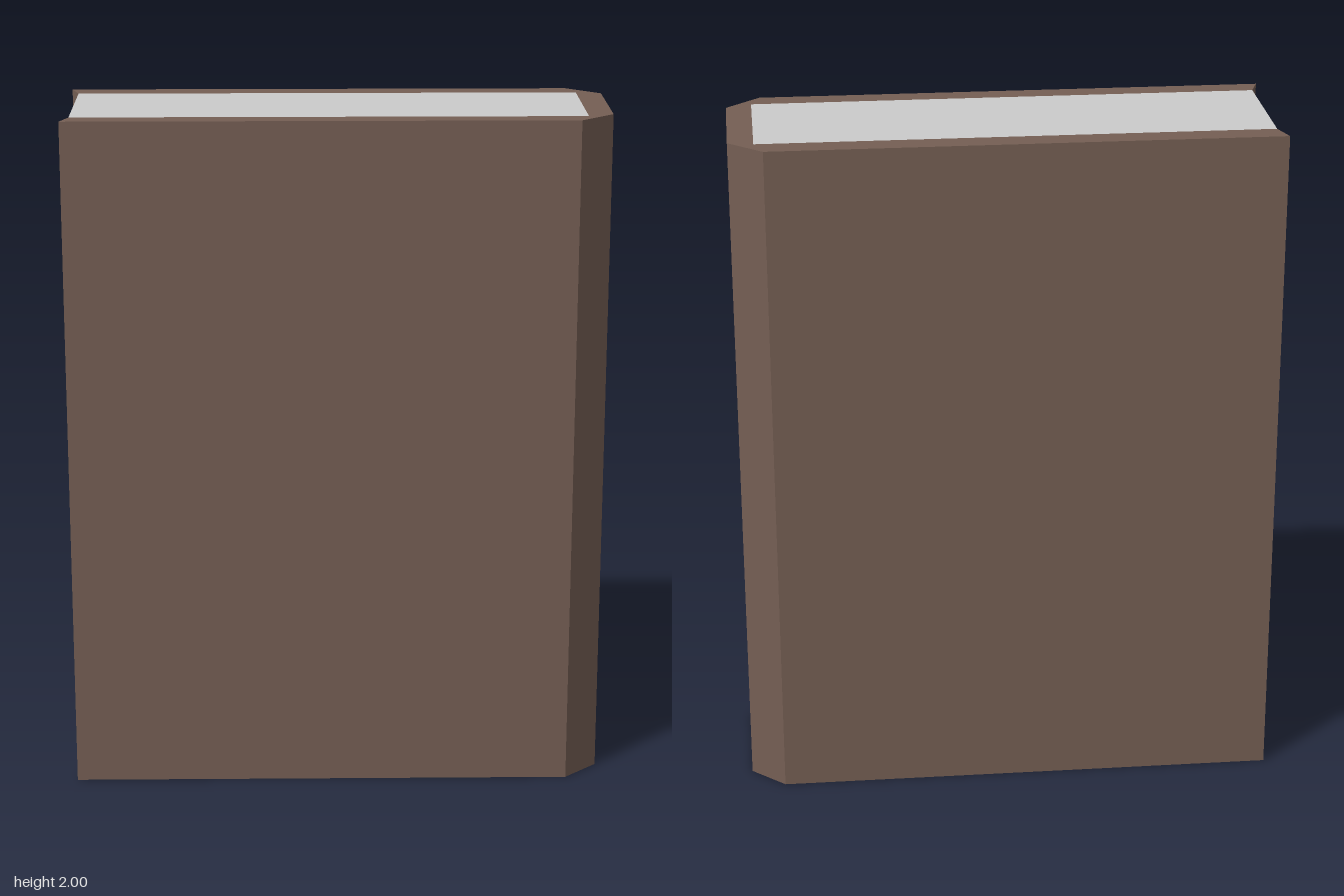
import * as THREE from 'three';

const HEIGHT = 2;

// Extrudes a plan outline, given as [x, z] points, upward from y = 0
function upright(name, outline, color) {
  const shape = new THREE.Shape(outline.map(([x, z]) => new THREE.Vector2(x, -z)));
  const geometry = new THREE.ExtrudeGeometry(shape, { depth: HEIGHT, bevelEnabled: false });
  geometry.rotateX(-Math.PI / 2);
  const mesh = new THREE.Mesh(geometry, new THREE.MeshStandardMaterial({ color, flatShading: true }));
  mesh.name = name;
  return mesh;
}

export function createModel() {
  const book = new THREE.Group();
  book.name = 'book';

  // Page block, which the cover wraps on three sides
  const fore = -0.76, spine = 0.71, back = -0.19, front = 0.197;
  const pages = [[fore, front], [spine, front], [spine, back], [fore, back]];

  // Cover: two boards with slanted fore edges and a chamfered spine
  const cover = [
    [-0.783, 0.262], [0.685, 0.262], [0.783, 0.168],
    [0.783, -0.172], [0.685, -0.262], [-0.783, -0.262],
    [fore, back], [spine, back], [spine, front], [fore, front],
  ];

  book.add(upright('cover', cover, 0x755f54), upright('pages', pages, 0xcccccc));
  return book;
}
